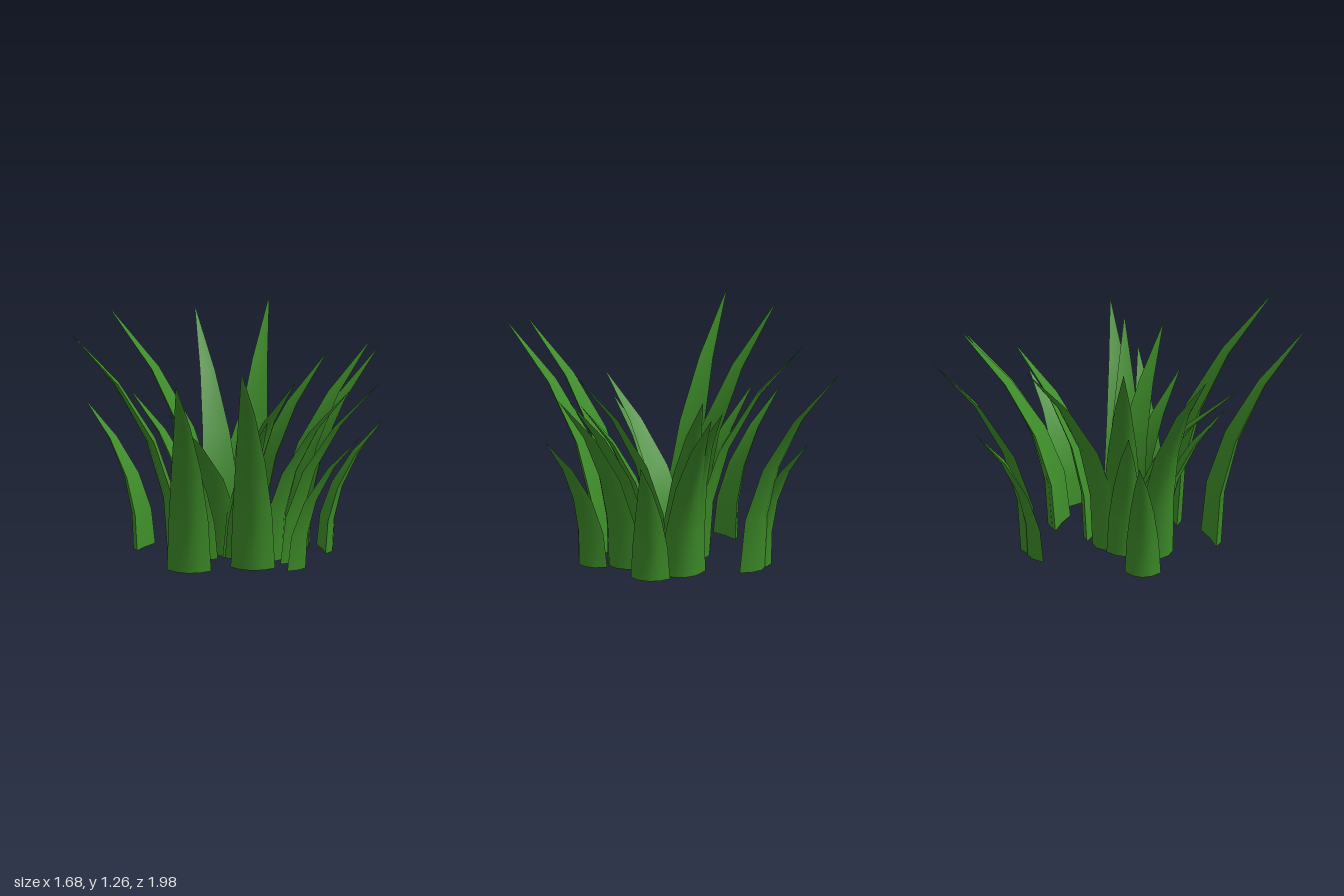
import * as THREE from 'three';

const SEGMENTS = 4;

// Each blade: base x, base z, tip x, tip z, height, base width
const BLADES = [
  [0.13, -0.445, 0.23, -0.99, 1.14, 0.22],
  [0.045, -0.445, 0.15, -0.78, 0.72, 0.22],
  [-0.01, -0.08, -0.16, -0.64, 1.175, 0.22],
  [-0.07, -0.02, -0.62, -0.29, 1.265, 0.22],
  [-0.13, -0.03, -0.5, -0.2, 0.83, 0.2],
  [-0.41, -0.07, -0.735, -0.255, 0.76, 0.19],
  [-0.23, 0.095, -0.84, 0.09, 1.235, 0.21],
  [-0.18, 0.435, -0.245, 0.99, 1.135, 0.235],
  [0.155, 0.37, 0.1, 0.97, 1.21, 0.235],
  [0, 0.06, -0.29, 0.565, 0.88, 0.21],
  [-0.125, 0.15, -0.25, 0.5, 0.76, 0.2],
  [0.08, 0.08, 0.38, 0.455, 1.025, 0.22],
  [0.1, 0.13, 0.235, 0.485, 0.82, 0.2],
  [0.245, 0.165, 0.67, 0.37, 0.965, 0.22],
  [0.335, 0.195, 0.825, 0.365, 1.005, 0.22],
  [0.37, 0.355, 0.73, 0.48, 0.745, 0.2],
  [0.51, -0.03, 0.84, -0.11, 0.69, 0.21],
  [0.375, -0.155, 0.815, -0.505, 0.99, 0.22],
  [0.34, -0.16, 0.775, -0.55, 1.02, 0.22],
  [0.14, -0.06, 0.545, -0.345, 1.0, 0.23],
];

// Cross-section: [across, outward] with a rounded outer keel and a nearly flat inner face
const OUTER = [[-0.5, 0], [-0.27, 0.048], [0, 0.066], [0.27, 0.048], [0.5, 0]];
const INNER = [[0.5, 0], [0, 0.008], [-0.5, 0]];

function bladeGeometry([bx, bz, tx, tz, height, width]) {
  const reach = Math.hypot(tx - bx, tz - bz);
  const fx = (tx - bx) / reach, fz = (tz - bz) / reach;
  const positions = [], index = [];

  const addPoint = ([u, v], t) => {
    const taper = 1 - Math.pow(t, 1.6);
    const out = reach * Math.pow(t, 2.2) + v * taper;
    const side = u * width * taper;
    positions.push(bx + fx * out + fz * side, height * t, bz + fz * out - fx * side);
  };

  // Long faces, separate strips so the blade edges stay sharp
  for (const section of [OUTER, INNER]) {
    const start = positions.length / 3, n = section.length;
    for (let i = 0; i <= SEGMENTS; i++) section.forEach((p) => addPoint(p, i / SEGMENTS));
    for (let i = 0; i < SEGMENTS; i++) {
      for (let j = 0; j < n - 1; j++) {
        const a = start + i * n + j, b = a + 1;
        if (i === SEGMENTS - 1) {
          index.push(a, b, start + SEGMENTS * n + 1); // shared tip
        } else {
          index.push(a, b, b + n, a, b + n, a + n);
        }
      }
    }
  }

  // Base cap
  const cap = positions.length / 3;
  OUTER.forEach((p) => addPoint(p, 0));
  for (let j = 1; j < OUTER.length - 1; j++) index.push(cap, cap + j + 1, cap + j);

  const geometry = new THREE.BufferGeometry();
  geometry.setAttribute('position', new THREE.Float32BufferAttribute(positions, 3));
  geometry.setIndex(index);
  geometry.computeVertexNormals();
  return geometry;
}

export function createModel() {
  const model = new THREE.Group();
  model.name = 'grassTuft';
  const grassGreen = new THREE.MeshStandardMaterial({ color: 0x3c8a28 });
  grassGreen.name = 'grass green';

  BLADES.forEach((blade, i) => {
    const mesh = new THREE.Mesh(bladeGeometry(blade), grassGreen);
    mesh.name = `grassBlade${i + 1}`;
    model.add(mesh);
  });
  return model;
}
